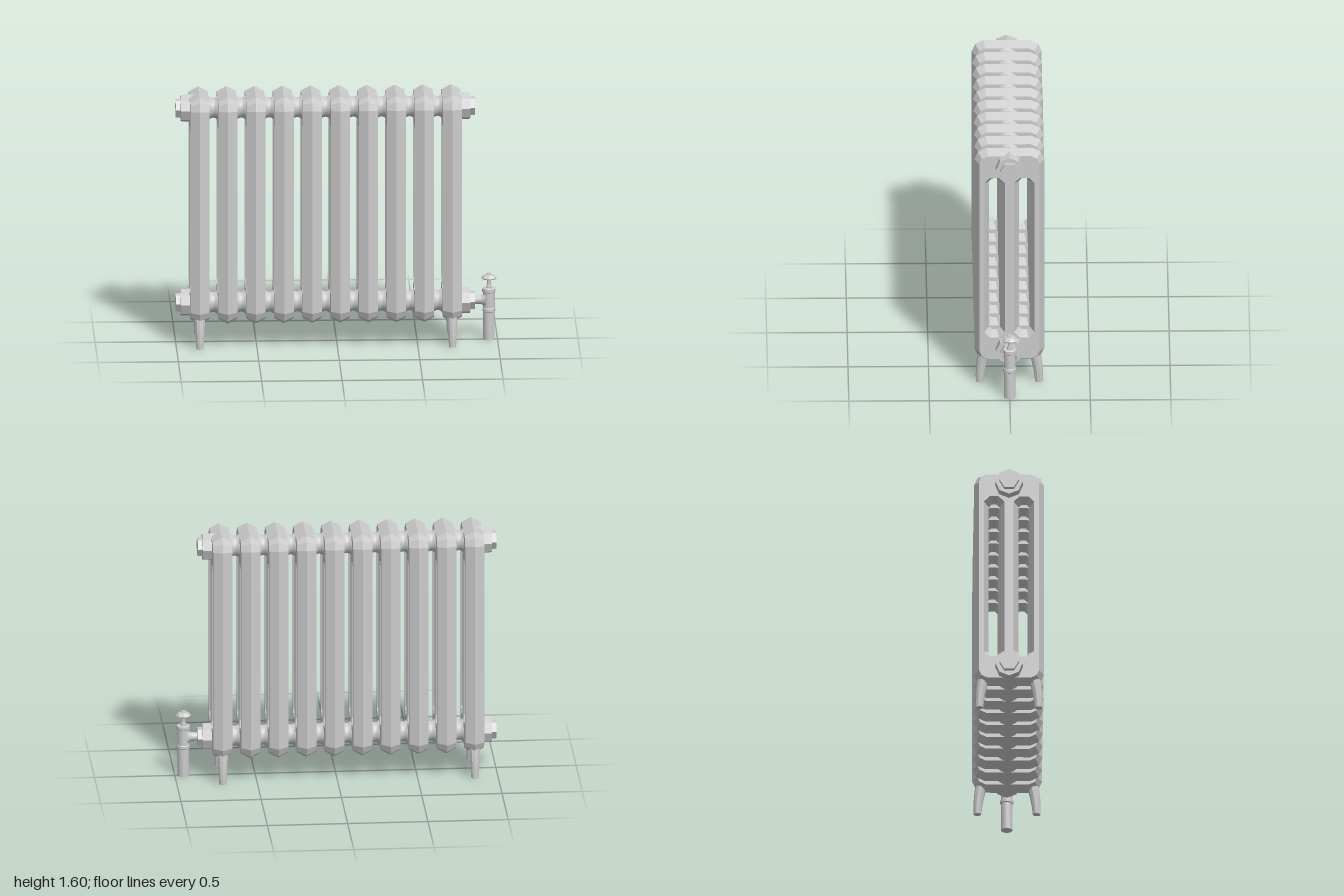
import * as THREE from 'three';
import { toCreasedNormals } from 'three/addons/utils/BufferGeometryUtils.js';

const SECTIONS = 10, FIRST_X = -0.855, PITCH = 0.1744, HALF_W = 0.059;
const LAST_X = FIRST_X + PITCH * (SECTIONS - 1);
const PORT_Y = [0.253, 1.498];
const VALVE_X = 0.947;

export function createModel() {
  const model = new THREE.Group();
  model.name = 'radiator';
  const flat = new THREE.MeshStandardMaterial({ color: 0xcccccc, flatShading: true });
  const smooth = new THREE.MeshStandardMaterial({ color: 0xcccccc, side: THREE.DoubleSide });

  const add = (name, geometry, material, x = 0, y = 0, z = 0) => {
    const mesh = new THREE.Mesh(geometry, material);
    mesh.name = name;
    mesh.position.set(x, y, z);
    model.add(mesh);
    return mesh;
  };
  const lathe = (points, sides, crease = 0.6) =>
    toCreasedNormals(new THREE.LatheGeometry(points.map(([r, y]) => new THREE.Vector2(r, y)), sides), crease);

  // Rectangle outline with two-step chamfered corners
  const cornered = (Type, z0, z1, y0, y1, steps) => {
    const path = new Type();
    const pts = [];
    const back = [...steps].reverse();
    steps.forEach(([a, b]) => pts.push([z1 - a, y0 + b]));
    back.forEach(([a, b]) => pts.push([z1 - a, y1 - b]));
    steps.forEach(([a, b]) => pts.push([z0 + a, y1 - b]));
    back.forEach(([a, b]) => pts.push([z0 + a, y0 + b]));
    path.setFromPoints(pts.map(([a, b]) => new THREE.Vector2(a, b)));
    path.closePath();
    return path;
  };

  // Cast section: ridged all round, with two long slots
  const outline = cornered(THREE.Shape, -0.187, 0.187, 0.18, 1.57, [[0.052, 0], [0.015, 0.018], [0, 0.052]]);
  const slotSteps = [[0.036, 0], [0, 0.036]];
  outline.holes.push(
    cornered(THREE.Path, 0.029, 0.156, 0.326, 1.422, slotSteps),
    cornered(THREE.Path, -0.156, -0.029, 0.326, 1.422, slotSteps));
  const sectionGeo = new THREE.ExtrudeGeometry(outline, {
    depth: 0.001, bevelEnabled: true, bevelThickness: HALF_W, bevelSize: 0.03, bevelSegments: 1,
  });
  sectionGeo.rotateY(Math.PI / 2);

  // Waisted nipple joining neighbouring sections
  const nippleGeo = lathe([[0.078, -0.036], [0.075, -0.028], [0.065, -0.015], [0.061, 0],
    [0.065, 0.015], [0.075, 0.028], [0.078, 0.036]], 24, 1);
  nippleGeo.rotateZ(-Math.PI / 2);

  for (let i = 0; i < SECTIONS; i++) {
    const x = FIRST_X + i * PITCH;
    add('section', sectionGeo, flat, x);
    if (i < SECTIONS - 1) for (const y of PORT_Y) add('nipple', nippleGeo, smooth, x + PITCH / 2, y);
  }

  // Octagonal end bosses and hexagonal plugs
  const bossGeo = new THREE.CylinderGeometry(0.084, 0.09, 0.115, 8).rotateZ(-Math.PI / 2);
  const plugGeo = new THREE.CylinderGeometry(0.06, 0.06, 0.05, 6).rotateZ(-Math.PI / 2);
  for (const [x, side] of [[FIRST_X, -1], [LAST_X, 1]]) {
    for (const y of PORT_Y) {
      const turn = side < 0 ? Math.PI : 0;
      add('endBoss', bossGeo, flat, x + side * 0.0575, y).rotation.y = turn;
      add('plug', plugGeo, flat, x + side * 0.12, y).rotation.y = turn;
    }
  }

  // Splayed legs, tapering and curving outwards to the floor
  const legGeo = new THREE.CylinderGeometry(1, 1, 0.19, 10, 5).translate(0, 0.095, 0);
  const p = legGeo.attributes.position;
  for (let i = 0; i < p.count; i++) {
    const y = p.getY(i), t = y / 0.19;
    p.setXYZ(i,
      p.getX(i) * (0.023 + 0.012 * t),
      y,
      0.184 - 0.005 * t - 0.019 * t * t + p.getZ(i) * (0.024 + 0.013 * t));
  }
  for (const x of [FIRST_X, LAST_X]) {
    for (const side of [1, -1]) add('leg', legGeo, flat, x).rotation.y = side < 0 ? Math.PI : 0;
  }

  // Valve: body with collars, stem, hand wheel and side tail
  add('valveBody', lathe([[0, 0], [0.036, 0], [0.036, 0.178], [0.041, 0.182], [0.041, 0.2], [0.037, 0.204],
    [0.037, 0.302], [0.042, 0.306], [0.042, 0.326], [0.037, 0.33], [0, 0.33]], 20), smooth, VALVE_X);
  add('valveStem', lathe([[0.016, 0.325], [0.016, 0.345], [0.012, 0.348], [0.012, 0.4]], 12), smooth, VALVE_X);
  add('handWheel', lathe([[0, 0.388], [0.046, 0.388], [0.049, 0.394], [0.034, 0.411], [0.015, 0.415],
    [0.013, 0.424], [0, 0.425]], 8, 0.3), smooth, VALVE_X);
  const tail = lathe([[0.027, 0.84], [0.027, 0.898], [0.044, 0.925]], 16);
  tail.rotateZ(-Math.PI / 2);
  add('valveTail', tail, smooth, 0, PORT_Y[0]);

  return model;
}
